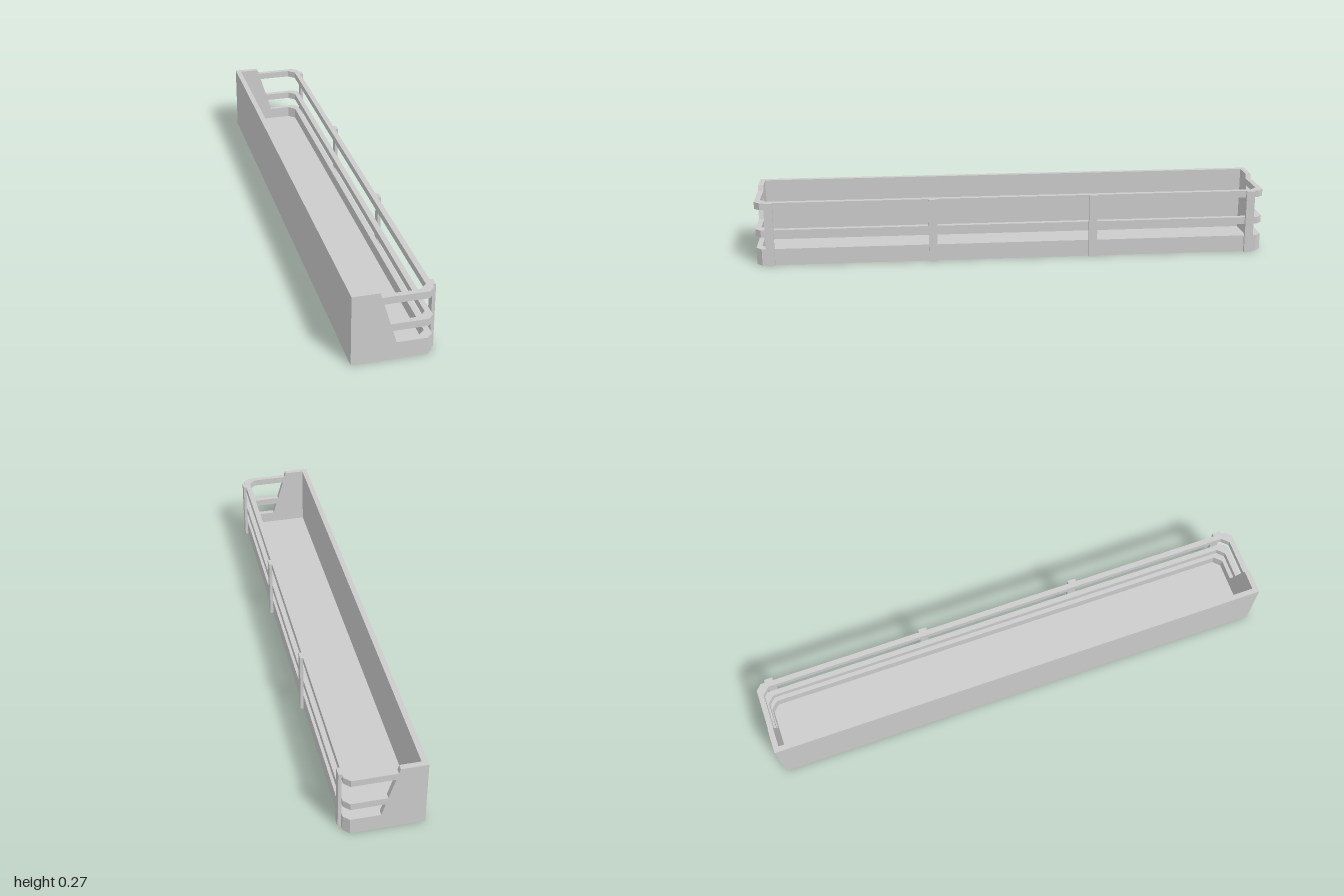
import * as THREE from 'three';

const material = new THREE.MeshStandardMaterial({ color: 0xcccccc, flatShading: true });
const BACK = -0.152, FRONT = 0.14, END = 1, WALL = 0.021;
const LIP = 0.066, TOP = 0.27, FLOOR = 0.02;
const BACK_IN = BACK + WALL;

// x of the sloping edge of the end panels at height y
const slopeX = (y) => 0.008 - (0.061 * (y - LIP)) / (TOP - LIP);

function add(group, name, geometry) {
  const mesh = new THREE.Mesh(geometry, material);
  mesh.name = name;
  group.add(mesh);
  return mesh;
}

// Chamfered outline from one end to the other, inset from the outside
function outline(startX, inset, chamfer) {
  const x = FRONT - inset, z = END - inset;
  return [
    [startX, -z], [x - chamfer, -z], [x, -z + chamfer],
    [x, z - chamfer], [x - chamfer, z], [startX, z],
  ].map(([a, b]) => new THREE.Vector2(a, b));
}

// Extrude a plan shape upwards from y0 to y1
function extrudeUp(points, y0, y1) {
  const geometry = new THREE.ExtrudeGeometry(new THREE.Shape(points), { depth: y1 - y0, bevelEnabled: false });
  return geometry.rotateX(-Math.PI / 2).translate(0, y0, 0);
}

// U-shaped band around the two ends and the front side
function band(startX, y0, y1) {
  const outer = outline(startX, 0, 0.022);
  const inner = outline(startX, WALL, 0.026).reverse();
  return extrudeUp([...outer, ...inner], y0, y1);
}

export function createModel() {
  const model = new THREE.Group();
  model.name = 'railedTray';

  // Tray
  add(model, 'floor', extrudeUp(outline(BACK_IN, WALL, 0.026), 0, FLOOR));
  add(model, 'lip', band(BACK_IN, 0, LIP));
  add(model, 'backWall', new THREE.BoxGeometry(WALL, TOP, 2 * END))
    .position.set(BACK + WALL / 2, TOP / 2, 0);

  // Sloping end panels above the lip
  const panel = new THREE.Shape([
    [BACK_IN, LIP], [slopeX(LIP), LIP], [slopeX(TOP), TOP], [BACK_IN, TOP],
  ].map(([x, y]) => new THREE.Vector2(x, y)));
  for (const [name, z] of [['frontEndPanel', END - WALL], ['backEndPanel', -END]]) {
    add(model, name, new THREE.ExtrudeGeometry(panel, { depth: WALL, bevelEnabled: false }))
      .position.z = z;
  }

  // Rails, their ends cut to meet the slope of the panels
  for (const [name, y0, y1] of [['lowerRail', 0.114, 0.142], ['upperRail', 0.224, 0.251]]) {
    const geometry = band(BACK_IN, y0, y1);
    const p = geometry.attributes.position;
    for (let i = 0; i < p.count; i++) {
      if (p.getX(i) < BACK_IN + 0.001) p.setX(i, slopeX(p.getY(i)));
    }
    geometry.computeVertexNormals();
    add(model, name, geometry);
  }

  // Posts on the outside of the long railed side
  for (const z of [-0.945, -0.315, 0.315, 0.945]) {
    add(model, 'post', new THREE.BoxGeometry(0.012, 0.251, 0.033))
      .position.set(FRONT + 0.006, 0.1255, z);
  }
  return model;
}
